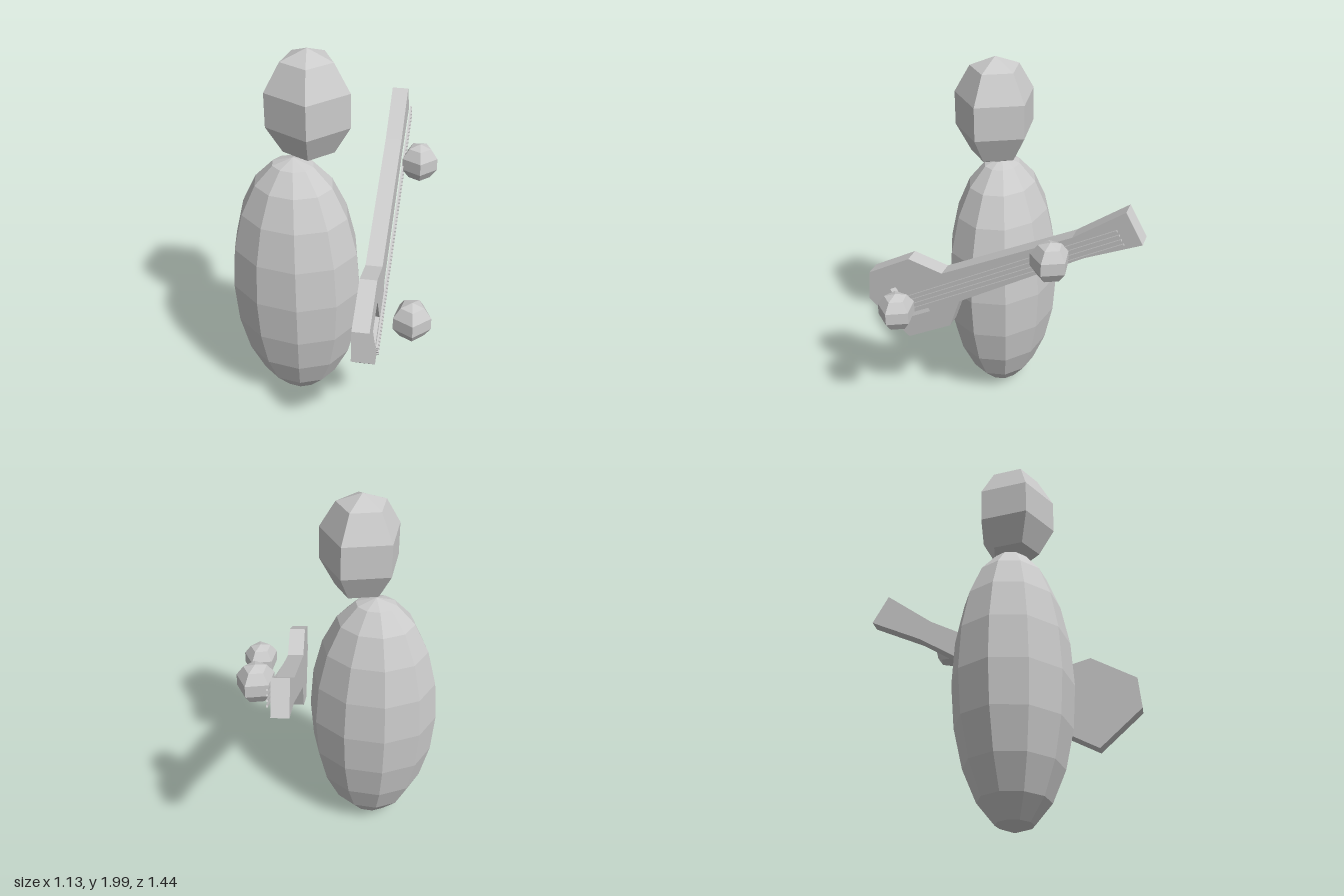
import * as THREE from 'three';

const material = new THREE.MeshStandardMaterial({ color: 0xcccccc, flatShading: true });

function addMesh(parent, name, geometry) {
  const mesh = new THREE.Mesh(geometry, material);
  mesh.name = name;
  parent.add(mesh);
  return mesh;
}

// Faceted ellipsoid with one corner pointing to +x
function addBall(parent, name, sides, rings, [x, y, z], [rx, ry, rz]) {
  const geometry = new THREE.SphereGeometry(1, sides, rings).rotateY(Math.PI).scale(rx, ry, rz);
  addMesh(parent, name, geometry).position.set(x, y, z);
}

const toPoints = (pairs) => pairs.map(([z, y]) => new THREE.Vector2(-z / 0.986, y));

function slab(outline, from, to, hole) {
  const shape = new THREE.Shape(toPoints(outline));
  if (hole) shape.holes.push(new THREE.Path(toPoints(hole)));
  return new THREE.ExtrudeGeometry(shape, { depth: to - from, bevelEnabled: false }).translate(0, 0, from);
}

function createGuitar() {
  const guitar = new THREE.Group();
  guitar.name = 'guitar';

  // Outline as [z, y], running around body, neck and headstock
  const outline = [
    [0.47, 1.01], [0.70, 0.88], [0.715, 0.715], [0.495, 0.515], [0.255, 0.645], [0.20, 0.81],
    [-0.44, 1.205], [-0.71, 1.33], [-0.625, 1.485], [-0.38, 1.305], [0.29, 0.96],
  ];
  const soundHole = [[0.587, 0.80], [0.50, 0.637], [0.365, 0.71], [0.452, 0.873]];
  addMesh(guitar, 'guitarBack', slab(outline, -0.042, -0.005));
  addMesh(guitar, 'guitarFront', slab(outline, -0.005, 0.042, soundHole));

  // Four parallel strings floating over the neck
  const strings = new THREE.Group();
  strings.name = 'strings';
  strings.position.set(0.01, 1.023, 0.064);
  strings.rotation.z = 0.508;
  for (let i = 0; i < 4; i++) {
    const string = addMesh(strings, 'string', new THREE.BoxGeometry(1.395, 0.009, 0.009));
    string.position.y = (i - 1.5) * 0.0245;
  }
  guitar.add(strings);

  guitar.position.x = 0.178;
  guitar.rotation.y = Math.PI / 2 + 0.166;
  return guitar;
}

export function createModel() {
  const model = new THREE.Group();
  model.name = 'guitarPlayer';

  addBall(model, 'body', 10, 10, [-0.22, 0.722, 0.2], [0.345, 0.713, 0.289]);
  addBall(model, 'head', 5, 5, [-0.138, 1.72, 0.188], [0.22, 0.28, 0.217]);
  addBall(model, 'frettingHand', 5, 5, [0.272, 1.222, -0.332], [0.1, 0.102, 0.102]);
  addBall(model, 'strummingHand', 5, 5, [0.465, 0.8, 0.437], [0.1, 0.102, 0.102]);
  model.add(createGuitar());

  return model;
}
